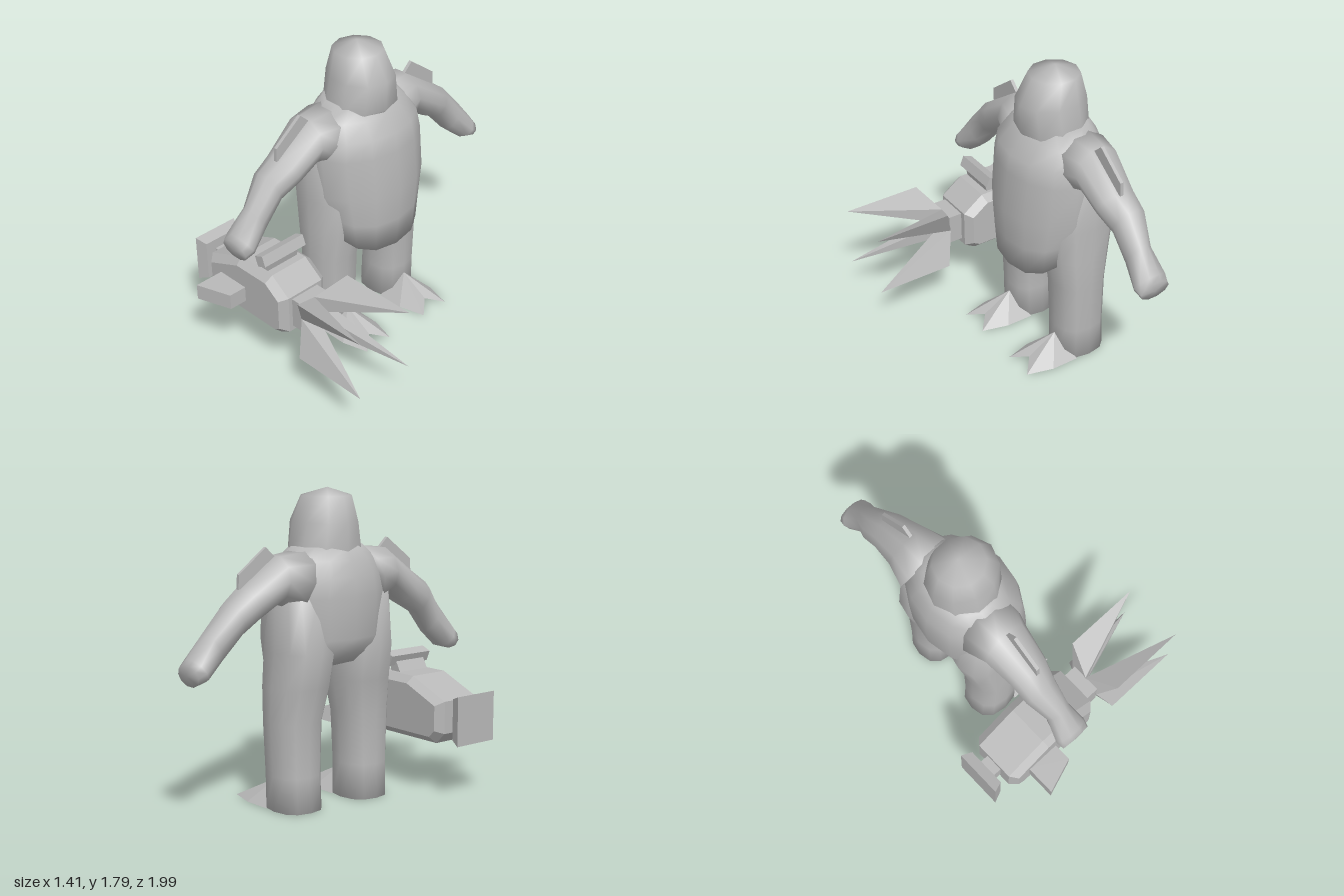
import * as THREE from 'three';
import { ConvexGeometry } from 'three/addons/geometries/ConvexGeometry.js';

const CZ = -0.04; // the creature's middle plane

// Skin a stack of closed rings; both ends are fanned to a cap point.
function loft(rings, bottomCap, topCap, flat = false) {
  const n = rings[0].length, pos = [...rings.flat(), bottomCap, topCap], idx = [];
  const last = (rings.length - 1) * n, b = rings.length * n;
  for (let i = 0; i < n; i++) {
    const j = (i + 1) % n;
    for (let r = 0; r < last; r += n) {
      idx.push(r + i, r + n + i, r + j, r + j, r + n + i, r + n + j);
    }
    idx.push(b, i, j, b + 1, last + j, last + i);
  }
  let g = new THREE.BufferGeometry();
  g.setAttribute('position', new THREE.Float32BufferAttribute(pos.flat(), 3));
  g.setIndex(idx);
  if (flat) g = g.toNonIndexed();
  g.computeVertexNormals();
  return g;
}

// Rounded ring between x0 and x1; slope lowers its front edge.
function ring(y, x0, x1, z, hz, slope = 0, power = 1, n = 14) {
  const out = [], soft = (t) => Math.sign(t) * Math.abs(t) ** power;
  for (let i = 0; i < n; i++) {
    const a = (i / n) * Math.PI * 2;
    const x = (x0 + x1) / 2 + soft(Math.cos(a)) * (x1 - x0) / 2;
    out.push([x, y + (x1 - x) * slope, z + soft(Math.sin(a)) * hz]);
  }
  return out;
}

const hull = (pts) => new ConvexGeometry(pts.map((p) => new THREE.Vector3(...p)));

export function createModel() {
  const model = new THREE.Group();
  const grey = new THREE.MeshStandardMaterial({ color: 0xb8b8b8 });
  grey.name = 'grey';
  const add = (parent, name, geometry) => {
    const m = new THREE.Mesh(geometry, grey);
    m.name = name;
    parent.add(m);
    return m;
  };
  const box = (parent, name, x0, x1, y0, y1, z0, z1) => {
    const m = add(parent, name, new THREE.BoxGeometry(x1 - x0, y1 - y0, z1 - z0));
    m.position.set((x0 + x1) / 2, (y0 + y1) / 2, (z0 + z1) / 2);
    return m;
  };

  const creature = new THREE.Group();
  creature.name = 'creature';
  model.add(creature);

  // Torso with a belly that hangs low at the front
  add(creature, 'torso', loft([
    ring(0.57, -0.35, 0.115, CZ, 0.30, 0.55, 0.85),
    ring(0.75, -0.41, 0.13, CZ, 0.33, 0.25, 0.9),
    ring(0.95, -0.45, 0.145, CZ, 0.375, 0.03),
    ring(1.2, -0.46, 0.12, CZ, 0.38),
    ring(1.31, -0.445, 0.1, CZ, 0.36),
    ring(1.4, -0.41, 0.025, CZ, 0.31),
    ring(1.47, -0.37, -0.02, CZ, 0.22),
  ], [-0.14, 0.76, CZ], [-0.2, 1.49, CZ]));

  // Head
  add(creature, 'head', loft([
    ring(1.38, -0.38, -0.01, CZ, 0.21, 0, 1, 10),
    ring(1.43, -0.385, 0.03, CZ, 0.22, 0, 1, 10),
    ring(1.6, -0.38, 0.035, CZ, 0.185, 0, 1, 10),
    ring(1.745, -0.34, -0.045, CZ, 0.145, 0, 1, 10),
  ], [-0.18, 1.38, CZ], [-0.2, 1.79, CZ]));

  // Arm sections: top z, top y, bottom z, bottom y, back x, front x
  const armSections = [
    [0.16, 1.46, 0.26, 1.12, -0.41, -0.02],
    [0.34, 1.44, 0.36, 1.17, -0.37, -0.07],
    [0.57, 1.28, 0.47, 1.1, -0.335, -0.09],
    [0.67, 1.21, 0.59, 1.03, -0.33, -0.12],
    [0.8, 1.06, 0.7, 0.9, -0.28, -0.13],
    [0.9, 0.93, 0.82, 0.8, -0.31, -0.1],
    [0.92, 0.9, 0.895, 0.78, -0.3, -0.11],
  ];
  for (const s of [1, -1]) {
    const side = s > 0 ? 'left' : 'right';
    const mirror = (z) => CZ + s * (z - CZ);

    // Arm
    const rings = armSections.map(([tz, ty, bz, by, x0, x1]) => {
      const out = [];
      for (let i = 0; i < 10; i++) {
        const a = (i / 10) * Math.PI * 2, v = Math.sin(a) * s;
        out.push([
          (x0 + x1) / 2 + Math.cos(a) * (x1 - x0) / 2,
          (ty + by) / 2 + v * (by - ty) / 2,
          mirror((tz + bz) / 2 + v * (bz - tz) / 2),
        ]);
      }
      return out;
    });
    add(creature, side + 'Arm', loft(rings, [-0.2, 1.3, mirror(0.2)], [-0.2, 0.84, mirror(0.915)]));

    // Thin shoulder fin
    const fin = [[0.33, 1.42], [0.4, 1.485], [0.58, 1.35], [0.585, 1.27], [0.4, 1.3]];
    add(creature, side + 'ShoulderFin', hull(
      fin.flatMap(([z, y]) => [[-0.215, y, mirror(z)], [-0.195, y, mirror(z)]])));

    // Leg
    const z = mirror(0.2025);
    const leg = (y, x0, x1, dz, hz) => ring(y, x0, x1, z + s * dz, hz, 0, 0.8, 12);
    add(creature, side + 'Leg', loft([
      leg(0, -0.36, -0.05, 0, 0.143),
      leg(0.2, -0.35, -0.05, 0.003, 0.143),
      leg(0.5, -0.35, -0.04, 0.003, 0.155),
      leg(0.7, -0.385, -0.015, -0.02, 0.175),
      leg(0.9, -0.42, -0.01, -0.03, 0.175),
      leg(1.2, -0.38, -0.06, -0.03, 0.17),
    ], [-0.2, 0, z], [-0.2, 1.25, z]));

    // Foot with two pointed toes
    add(creature, side + 'Foot', loft([[
      [0.13, 0.035, z], [0.21, 0, z + 0.095], [0.05, 0, z + 0.138], [-0.12, 0, z + 0.138],
      [-0.12, 0, z - 0.138], [0.05, 0, z - 0.138], [0.21, 0, z - 0.095],
    ]], [-0.03, 0.005, z], [-0.05, 0.14, z], true));
  }

  // Floating device beside the left hand
  const device = new THREE.Group();
  device.name = 'device';
  model.add(device);
  const outline = [[-0.585, 0.37], [-0.52, 0.305], [0, 0.305], [0.07, 0.345],
    [0.07, 0.575], [-0.06, 0.67], [-0.32, 0.67], [-0.585, 0.56]];
  const casing = new THREE.ExtrudeGeometry(
    new THREE.Shape(outline.map((p) => new THREE.Vector2(...p))),
    { depth: 0.25, bevelThickness: 0.045, bevelSize: 0.04, bevelOffset: -0.04, bevelSegments: 1 });
  add(device, 'casing', casing).position.z = 0.52;

  // Nozzle at the back end
  box(device, 'nozzleNeck', -0.66, -0.57, 0.405, 0.525, 0.59, 0.7);
  const nozzle = new THREE.CylinderGeometry(0.205, 0.17, 0.065, 4, 1, false, Math.PI / 4).toNonIndexed();
  nozzle.computeVertexNormals();
  nozzle.rotateZ(Math.PI / 2);
  add(device, 'nozzle', nozzle).position.set(-0.6775, 0.465, 0.645);

  // Four spikes fanning out from the front neck
  box(device, 'spikeNeck', 0.06, 0.155, 0.375, 0.56, 0.555, 0.745);
  for (const sy of [1, -1]) {
    for (const sz of [1, -1]) {
      const p = (x, y, z) => [x, 0.467 + sy * y, 0.65 + sz * z];
      add(device, 'spike', hull([
        p(0.155, 0, 0), p(0.15, 0.1, 0), p(0.15, 0, 0.1), p(0.22, 0.188, 0.188), p(0.7, 0.188, 0.188),
      ]));
    }
  }

  // Tilted top handle on its stalk
  add(device, 'handleStalk', hull([0.54, 0.76].flatMap((z) => [
    [-0.19, 0.66, z], [-0.11, 0.66, z], [-0.095, 0.73, z], [-0.15, 0.73, z]])));
  const handle = box(device, 'handle', -0.155, -0.09, 0.715, 0.78, 0.495, 0.8);
  handle.rotation.z = -0.4 + Math.PI / 4;

  // Slanted grip block on the outer side
  add(device, 'sideGrip', hull([0.415, 0.51].flatMap((y) => [
    [-0.46, y, 0.8], [-0.25, y, 0.8], [-0.46, y, 0.995], [-0.25, y, 0.925]])));

  return model;
}
